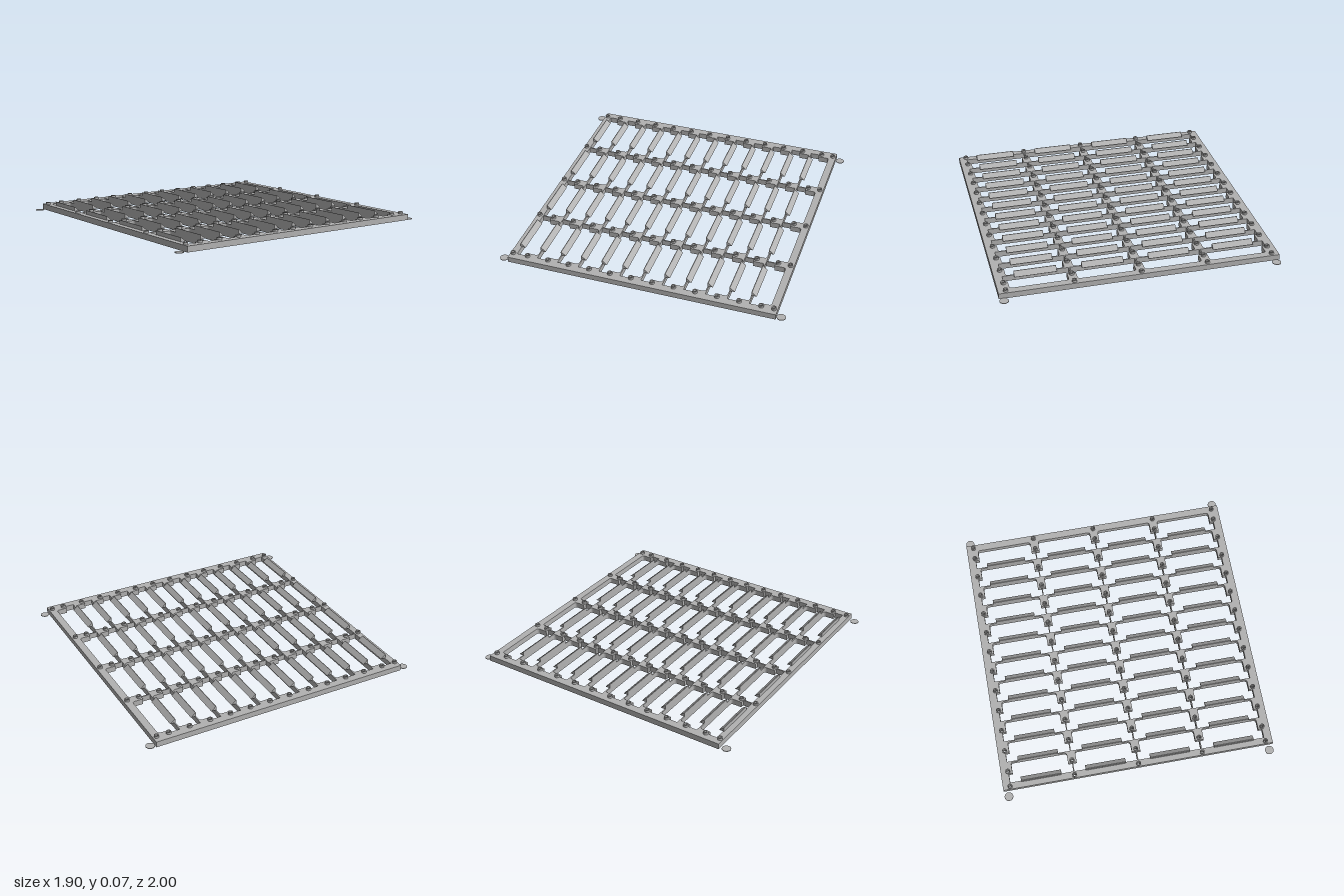
import * as THREE from 'three';

const COLS = [-0.9, -0.45, 0, 0.45, 0.9]; // divider centre lines
const ROWS = 12, PITCH = 0.1485, FIRST = -0.746; // cross walls
const RAIL_H = 0.04, WALL = 0.004, PAD = 0.03, PAD_LEN = 0.077;
const wallZ = (k) => FIRST + k * PITCH;

// shape coordinates are (x, -z), extruded upwards
function extrudeUp(shape, y0, height, curveSegments = 8) {
  const g = new THREE.ExtrudeGeometry(shape, { depth: height, bevelEnabled: false, curveSegments });
  g.rotateX(-Math.PI / 2);
  g.translate(0, y0, 0);
  return g;
}

// opening with filleted pads at its back corners
function cellHole(xa, xb, za, zb) {
  const f = 0.018, zp = za + PAD_LEN;
  const l = xa + PAD, r = xb - PAD, p = new THREE.Path();
  p.moveTo(l + f, -za);
  p.lineTo(r - f, -za);
  p.quadraticCurveTo(r, -za, r, -(za + f));
  p.lineTo(r, -zp);
  p.lineTo(xb - WALL, -zp);
  p.lineTo(xb - WALL, -zb);
  p.lineTo(xa + WALL, -zb);
  p.lineTo(xa + WALL, -zp);
  p.lineTo(l, -zp);
  p.lineTo(l, -(za + f));
  p.quadraticCurveTo(l, -za, l + f, -za);
  return p;
}

function roundHole(x, z, r) {
  const p = new THREE.Path();
  p.absarc(x, -z, r, 0, Math.PI * 2, true);
  return p;
}

export function createModel() {
  const grey = new THREE.MeshStandardMaterial({ color: 0xb2b2b2 });
  grey.name = 'grey plastic';
  const model = new THREE.Group();
  model.name = 'slatted tray';
  const add = (geometry, name, x = 0, y = 0, z = 0) => {
    const m = new THREE.Mesh(geometry, grey);
    m.name = name;
    m.position.set(x, y, z);
    model.add(m);
  };

  // boss positions: both end rails and one per pad
  const bossZ = [-0.915, 0.91];
  for (let k = 0; k < ROWS; k++) bossZ.push(-0.83 + k * PITCH);

  // frame, dividers and cross walls in one pierced plate
  const plate = new THREE.Shape();
  plate.moveTo(-0.95, -0.93);
  plate.lineTo(0.95, -0.93);
  plate.lineTo(0.95, 0.94);
  plate.lineTo(-0.95, 0.94);
  plate.closePath();
  for (let c = 0; c < 4; c++) {
    for (let k = 0; k < ROWS; k++) {
      const za = k === 0 ? -0.89 : wallZ(k - 1) + WALL;
      plate.holes.push(cellHole(COLS[c], COLS[c + 1], za, wallZ(k) - WALL));
    }
  }
  for (const x of COLS) for (const z of bossZ) plate.holes.push(roundHole(x, z, 0.01));
  add(extrudeUp(plate, 0, RAIL_H, 5), 'frame');

  // raised hollow bosses
  const ring = new THREE.Shape();
  ring.absarc(0, 0, 0.017, 0, Math.PI * 2, false);
  ring.holes.push(roundHole(0, 0, 0.01));
  const bossGeo = extrudeUp(ring, 0, 0.015);
  for (const x of COLS) for (const z of bossZ) add(bossGeo, 'boss', x, RAIL_H, z);

  // wedge slats: upright front, sloping down to the back
  const wedge = new THREE.Shape();
  wedge.moveTo(-WALL, 0);
  wedge.lineTo(0.033, 0);
  wedge.lineTo(0, 0.028);
  wedge.lineTo(-WALL, 0.028);
  wedge.closePath();
  const slatGeo = new THREE.ExtrudeGeometry(wedge, { depth: 0.282, bevelEnabled: false });
  slatGeo.translate(0, 0, -0.141);
  slatGeo.rotateY(Math.PI / 2);
  // extruded profile now runs along x with its slope towards -z
  for (const x of [-0.678, -0.227, 0.227, 0.678]) {
    for (let k = 0; k < ROWS; k++) add(slatGeo, 'slat', x, RAIL_H, wallZ(k));
  }

  // thin corner discs
  const discGeo = new THREE.CylinderGeometry(0.03, 0.03, 0.004, 24);
  for (const x of [-0.92, 0.92]) for (const z of [-0.97, 0.97]) add(discGeo, 'cornerDisc', x, 0.002, z);

  return model;
}
